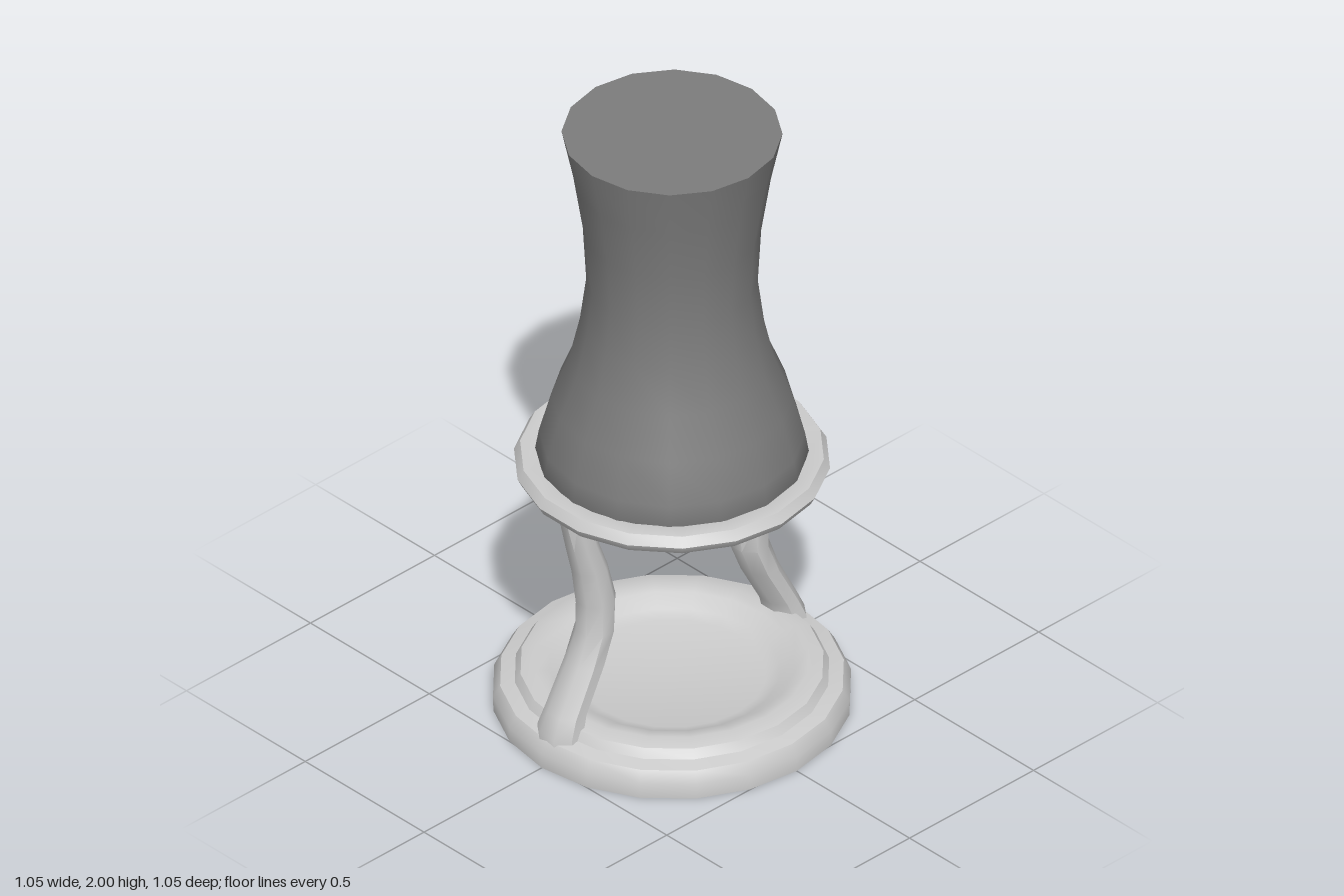
import * as THREE from 'three';
import { toCreasedNormals } from 'three/addons/utils/BufferGeometryUtils.js';

const grey = new THREE.MeshStandardMaterial({ color: 0xcccccc });
const dark = new THREE.MeshStandardMaterial({ color: 0x7c7c7c });

// Revolved part from [radius, height] pairs, listed anticlockwise
function turned(name, profile, sides, material) {
  const points = profile.map(([r, y]) => new THREE.Vector2(r, y));
  const geometry = toCreasedNormals(new THREE.LatheGeometry(points, sides), 0.75);
  const mesh = new THREE.Mesh(geometry, material);
  mesh.name = name;
  return mesh;
}

// Bent leg: octagonal sections [y, centre x, half width x, half width z]
function legGeometry() {
  const sections = [
    [0.04, 0.45, 0.055, 0.08], [0.1, 0.45, 0.055, 0.072],
    [0.16, 0.427, 0.05, 0.064], [0.3, 0.352, 0.052, 0.06],
    [0.4, 0.312, 0.054, 0.058], [0.5, 0.308, 0.058, 0.056],
    [0.62, 0.333, 0.052, 0.052], [0.72, 0.365, 0.047, 0.045], [0.83, 0.395, 0.045, 0.036],
  ];
  const n = 8, positions = [], index = [];
  sections.forEach(([y, cx, wx, wz], row) => {
    for (let i = 0; i < n; i++) {
      const a = ((i + 0.5) / n) * Math.PI * 2;
      positions.push(cx + Math.cos(a) * wx * 1.08, y, Math.sin(a) * wz * 1.08);
      if (row === 0) continue;
      const j = (i + 1) % n, low = (row - 1) * n, high = row * n;
      index.push(low + i, high + i, low + j, low + j, high + i, high + j);
    }
  });
  const geometry = new THREE.BufferGeometry();
  geometry.setAttribute('position', new THREE.Float32BufferAttribute(positions, 3));
  geometry.setIndex(index);
  return toCreasedNormals(geometry, 0.85);
}

export function createModel() {
  const model = new THREE.Group();
  model.name = 'vesselOnStand';

  // Waisted vessel with a rounded underside and flat top
  model.add(turned('vessel', [
    [0, 0.655], [0.11, 0.667], [0.22, 0.7], [0.31, 0.75], [0.37, 0.81],
    [0.4, 0.87], [0.388, 0.94], [0.352, 1.07], [0.3, 1.2], [0.268, 1.34],
    [0.25, 1.48], [0.26, 1.66], [0.288, 1.84], [0.322, 2], [0, 2],
  ], 16, dark));

  // Ring that holds the vessel
  model.add(turned('supportRing', [
    [0.36, 0.795], [0.41, 0.795], [0.45, 0.82], [0.463, 0.845],
    [0.445, 0.875], [0.4, 0.878], [0.37, 0.865], [0.36, 0.795],
  ], 18, grey));

  // Stepped base with a shallow dish
  model.add(turned('base', [
    [0, 0], [0.525, 0], [0.526, 0.05], [0.505, 0.085], [0.462, 0.095],
    [0.445, 0.122], [0.4, 0.132], [0.36, 0.125], [0.315, 0.095],
    [0.275, 0.082], [0, 0.09],
  ], 20, grey));

  // Two legs, one turned to the opposite side
  for (const side of ['left', 'right']) {
    const leg = new THREE.Mesh(legGeometry(), grey);
    leg.name = side + 'Leg';
    if (side === 'right') leg.rotation.y = Math.PI;
    model.add(leg);
  }
  return model;
}
